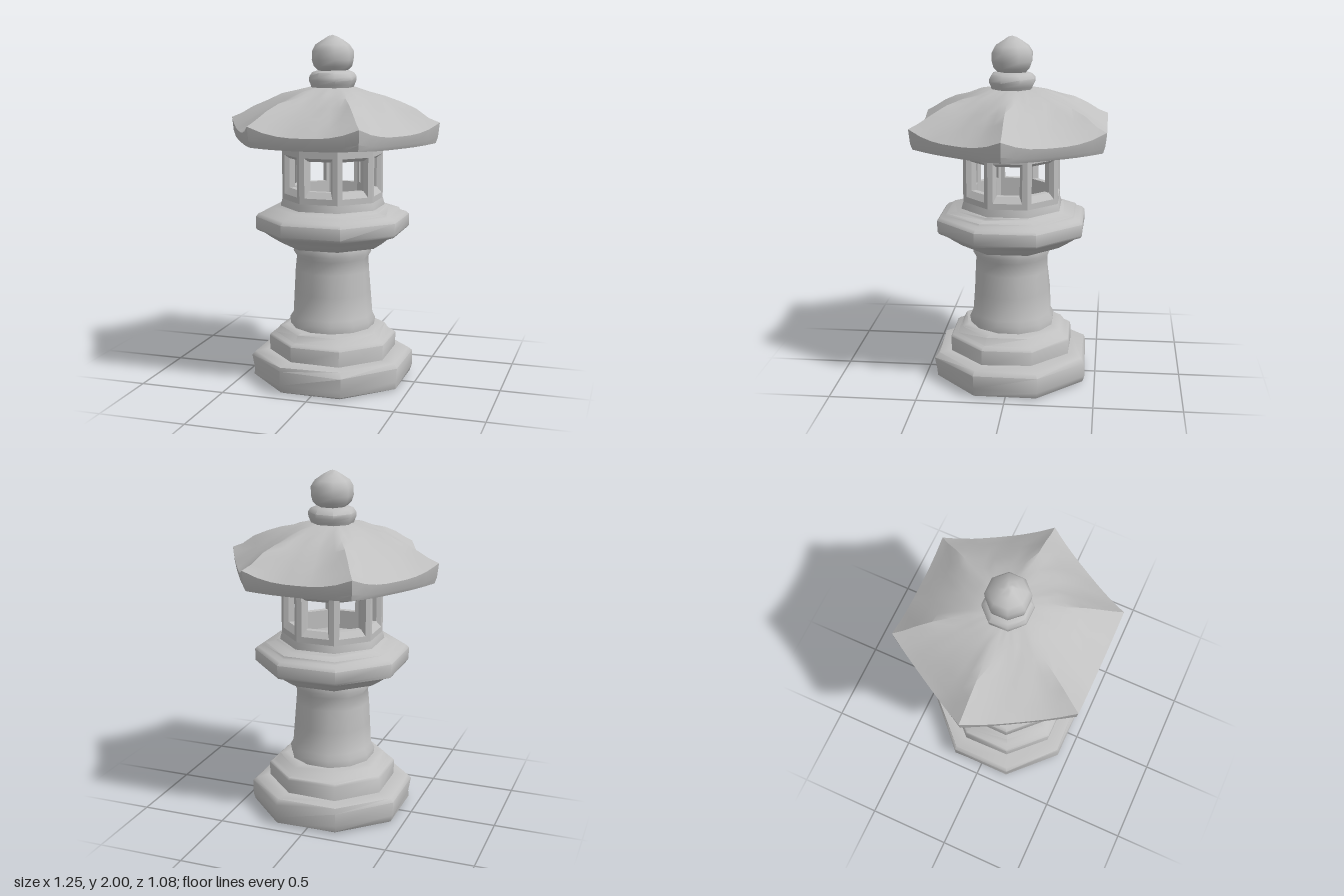
import * as THREE from 'three';
import { toCreasedNormals } from 'three/addons/utils/BufferGeometryUtils.js';

// Small seeded generator for the weathered, hand-carved unevenness
function makeRandom(seed) {
  let s = seed;
  return () => {
    s = (s * 16807) % 2147483647;
    return s / 2147483647 - 0.5;
  };
}

// Skin closed loops of points, ordered so that faces point outwards
function loft(rings, crease = 0.95) {
  const n = rings[0].length;
  const index = [];
  for (let j = 0; j < rings.length - 1; j++) {
    for (let i = 0; i < n; i++) {
      const k = (i + 1) % n;
      const a = j * n + i, b = j * n + k;
      index.push(a, a + n, b, b, a + n, b + n);
    }
  }
  const g = new THREE.BufferGeometry();
  g.setAttribute('position', new THREE.Float32BufferAttribute(rings.flat(2), 3));
  g.setIndex(index);
  return toCreasedNormals(g, crease);
}

// Turned stone with a few sides; flats face the axes, profile is [apothem, y] from bottom to top
function turned(profile, sides, rough, seed, crease) {
  const rnd = makeRandom(seed);
  const grow = 1 / Math.cos(Math.PI / sides);
  const rings = profile.map(([r, y]) => Array.from({ length: sides }, (_, i) => {
    const a = ((i + 0.5) / sides) * Math.PI * 2;
    const R = r > 0 ? r * grow + rnd() * rough : 0;
    const dy = r > 0 && y > 0.005 ? rnd() * rough * 0.6 : 0;
    return [R * Math.cos(a), y + dy, R * Math.sin(a)];
  }));
  return loft(rings, crease);
}

// Six-cornered roof with raised corner ridges and a flat underside
function roofGeometry() {
  const rnd = makeRandom(77);
  const perSide = 8, n = perSide * 6;
  // [share of outline, height at mid-side, height at corner]
  const rows = [
    [0, 1.40, 1.40], [0.5, 1.40, 1.40], [0.965, 1.395, 1.405], [0.985, 1.415, 1.44],
    [1, 1.465, 1.52], [0.9, 1.505, 1.55], [0.78, 1.555, 1.59], [0.64, 1.605, 1.63],
    [0.5, 1.65, 1.66], [0.36, 1.68, 1.685], [0.24, 1.705, 1.705], [0, 1.71, 1.71],
  ];
  const rings = rows.map(([s, mid, corner], row) => Array.from({ length: n }, (_, i) => {
    const a = (i / n) * Math.PI * 2;
    const t = (i % perSide) / perSide;
    const off = Math.abs(t - 0.5) * 2;
    const hex = 0.54 / Math.cos((t - 0.5) * Math.PI / 3);
    const round = THREE.MathUtils.smoothstep(s, 0.15, 0.6);
    const R = s * THREE.MathUtils.lerp(0.58, hex, round);
    const worn = row > 4 && row < 10 ? rnd() * 0.012 : 0;
    return [R * Math.cos(a), mid + (corner - mid) * off ** 3 + worn, R * Math.sin(a)];
  }));
  return loft(rings, 0.9);
}

// One wall of the light chamber: a splayed window frame facing +z
function windowGeometry() {
  const tan = Math.tan(Math.PI / 8);
  const loop = (w, bottom, top, z) => [[-w, top, z], [w, top, z], [w, bottom, z], [-w, bottom, z]];
  return loft([
    loop(0.27 * tan, 1.0, 1.41, 0.27),
    loop(0.082, 1.10, 1.325, 0.27),
    loop(0.066, 1.135, 1.305, 0.245),
    loop(0.066, 1.135, 1.305, 0.21),
    loop(0.21 * tan, 1.0, 1.41, 0.21),
  ], 0.5);
}

export function createModel() {
  const group = new THREE.Group();
  const stone = new THREE.MeshStandardMaterial({ color: 0xc0c0c0 });
  stone.name = 'grey stone';
  const add = (name, geometry, parent = group) => {
    const mesh = new THREE.Mesh(geometry, stone);
    mesh.name = name;
    parent.add(mesh);
    return mesh;
  };

  // Foot slab and stepped plinth
  add('base', turned([
    [0, 0], [0.405, 0], [0.43, 0.012], [0.435, 0.05], [0.435, 0.13], [0.42, 0.155],
    [0.36, 0.165], [0, 0.165],
  ], 8, 0.016, 11));
  add('plinth', turned([
    [0.345, 0.15], [0.345, 0.25], [0.335, 0.262], [0.31, 0.268], [0.287, 0.308],
    [0.25, 0.315], [0, 0.315],
  ], 8, 0.008, 23));

  // Tapering column with a worn collar at each end
  add('column', turned([
    [0.235, 0.30], [0.242, 0.355], [0.226, 0.385], [0.217, 0.52], [0.208, 0.65],
    [0.203, 0.725], [0.22, 0.755], [0.212, 0.79], [0.205, 0.83],
  ], 12, 0.007, 31, 1.1));

  // Eight-sided platform
  add('platform', turned([
    [0, 0.805], [0.28, 0.805], [0.33, 0.84], [0.37, 0.872], [0.405, 0.885], [0.413, 0.9],
    [0.413, 0.965], [0.398, 0.982], [0.37, 0.992], [0.36, 1.005], [0.305, 1.012],
    [0.295, 1.025], [0, 1.025],
  ], 8, 0.006, 47));

  // Light chamber: eight window walls
  const chamber = new THREE.Group();
  chamber.name = 'lightChamber';
  group.add(chamber);
  const wall = windowGeometry();
  for (let i = 0; i < 8; i++) add('windowWall', wall, chamber).rotation.y = (i * Math.PI) / 4;
  add('sill', turned([[0.28, 1.01], [0.279, 1.035], [0.269, 1.07]], 8, 0, 5), chamber);

  // Roof and finial
  add('roof', roofGeometry());
  add('finialCollar', turned([
    [0.105, 1.69], [0.115, 1.72], [0.127, 1.745], [0.127, 1.765], [0.108, 1.79],
    [0.07, 1.803], [0, 1.803],
  ], 8, 0.012, 59));
  add('finial', turned([
    [0, 1.79], [0.075, 1.797], [0.1, 1.825], [0.111, 1.86], [0.111, 1.91], [0.092, 1.945],
    [0.05, 1.975], [0.022, 1.993], [0, 2.0],
  ], 8, 0.004, 67, 1.1));

  return group;
}
